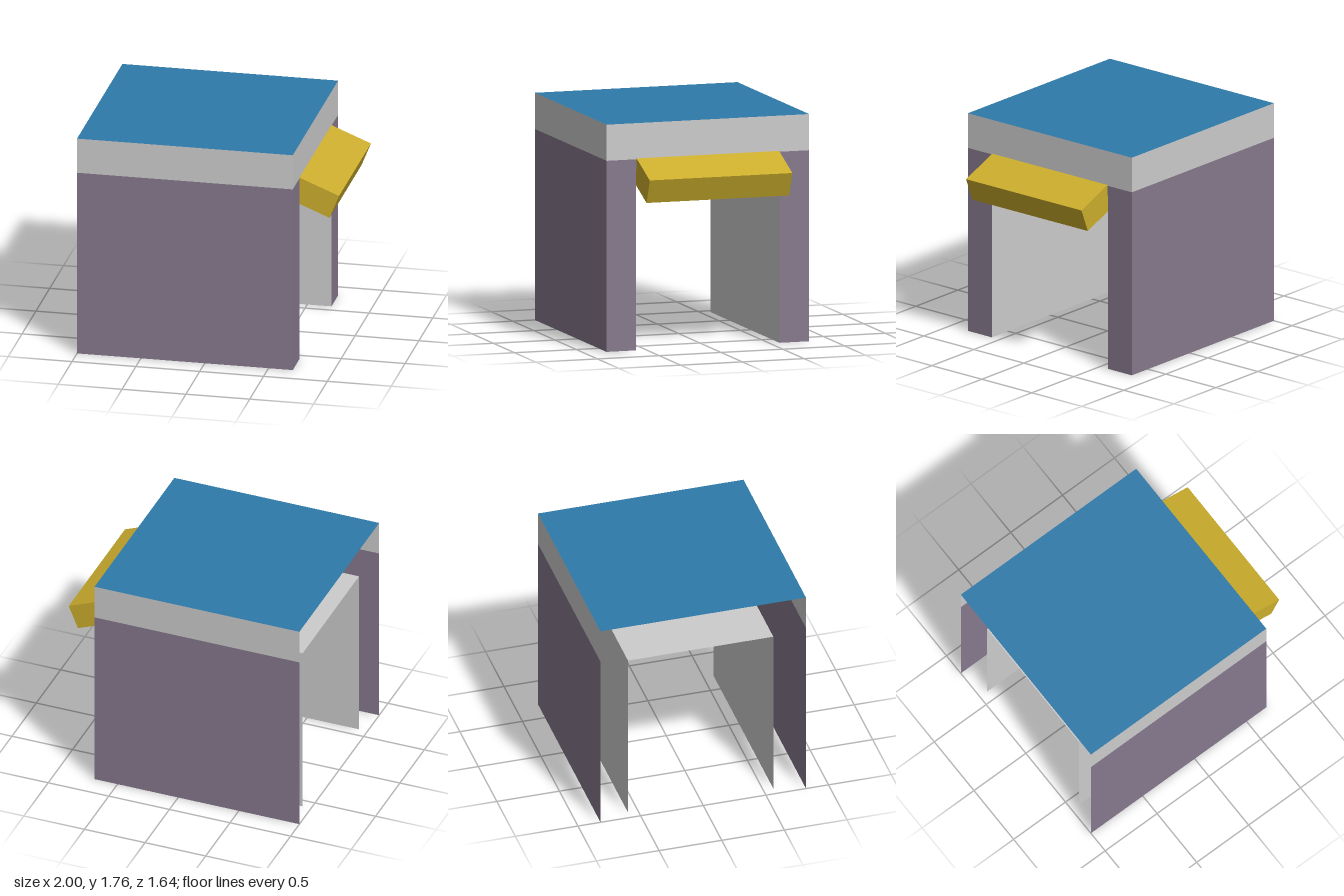
import * as THREE from 'three';

const material = (name, color) =>
  new THREE.MeshStandardMaterial({ name, color, side: THREE.DoubleSide });

export function createModel() {
  const model = new THREE.Group();
  model.name = 'archway';
  const grey = material('light grey', 0xcccccc);
  const purple = material('dusty purple', 0x86798d);
  const blue = material('roof blue', 0x2e7aaa);
  const yellow = material('awning yellow', 0xccae2d);

  const back = -1, front = 0.69, innerBack = -0.93;
  const outer = 0.82, inner = 0.58;
  const ceiling = 1.4, wallTop = 1.48, top = 1.76;

  // Thin flat panel, turned to face along the chosen axis
  function panel(name, mat, w, h, [x, y, z], rx = 0, ry = 0) {
    const mesh = new THREE.Mesh(new THREE.PlaneGeometry(w, h), mat);
    mesh.name = name;
    mesh.position.set(x, y, z);
    mesh.rotation.set(rx, ry, 0);
    model.add(mesh);
  }
  const quarter = Math.PI / 2;
  const depth = front - back, midX = (front + back) / 2;
  const innerDepth = front - innerBack, innerX = (front + innerBack) / 2;
  const bandH = top - wallTop, bandY = (top + wallTop) / 2;

  // Side walls, open at the back and underneath
  for (const s of [1, -1]) {
    const turn = s > 0 ? 0 : Math.PI;
    panel('outerWall', purple, depth, wallTop, [midX, wallTop / 2, s * outer], 0, turn);
    panel('roofSide', grey, depth, bandH, [midX, bandY, s * outer], 0, turn);
    panel('innerWall', grey, innerDepth, ceiling, [innerX, ceiling / 2, s * inner], 0, Math.PI - turn);
    panel('wallEnd', purple, outer - inner, wallTop,
      [front, wallTop / 2, s * (outer + inner) / 2], 0, quarter);
  }

  // Roof, its front band, the lintel and the passage ceiling
  panel('roofTop', blue, depth, outer * 2, [midX, top, 0], -quarter);
  panel('roofFront', grey, outer * 2, bandH, [front, bandY, 0], 0, quarter);
  panel('lintel', purple, inner * 2, wallTop - ceiling, [front, (wallTop + ceiling) / 2, 0], 0, quarter);
  panel('passageCeiling', grey, innerDepth, inner * 2, [innerX, ceiling, 0], quarter);

  // Sloping awning block over the opening
  const awning = new THREE.Mesh(new THREE.BoxGeometry(0.372, 0.2, 1.154), yellow);
  awning.name = 'awning';
  awning.position.set(0.79, 1.338, 0);
  awning.rotation.z = -0.385;
  model.add(awning);

  return model;
}
